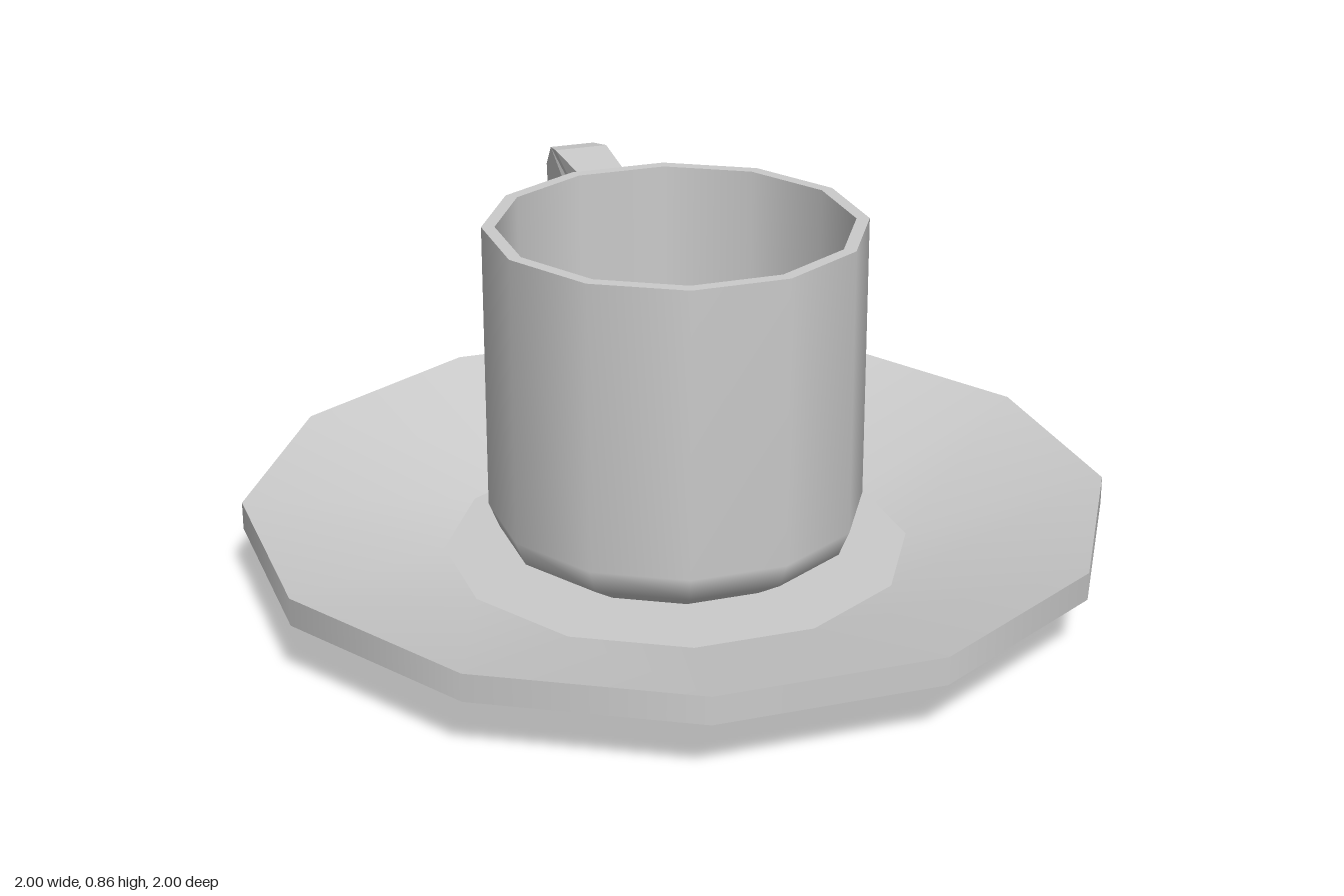
import * as THREE from 'three';

const material = new THREE.MeshStandardMaterial({ color: 0xcccccc });
const SIDES = 12;

// Each strip of the profile is its own lathe, so edges between strips stay sharp.
function turned(name, strips) {
  const group = new THREE.Group();
  group.name = name;
  for (const [part, ...points] of strips) {
    const profile = points.map(([r, y]) => new THREE.Vector2(r, y));
    const mesh = new THREE.Mesh(new THREE.LatheGeometry(profile, SIDES), material);
    mesh.name = part;
    group.add(mesh);
  }
  return group;
}

// Side outline of the handle: radius from the cup axis, height, half width.
const HANDLE = [
  [0.42, 0.685, 0.05], [0.58, 0.705, 0.06], [0.58, 0.64, 0.065],
  [0.65, 0.565, 0.065], [0.755, 0.555, 0.06], [0.835, 0.645, 0.05],
  [0.845, 0.74, 0.05], [0.79, 0.8, 0.055], [0.715, 0.815, 0.065],
  [0.42, 0.795, 0.05],
];

function makeHandle() {
  const shape = new THREE.Shape(HANDLE.map(([r, y]) => new THREE.Vector2(r, y)));
  const geometry = new THREE.ExtrudeGeometry(shape, { depth: 1, bevelEnabled: false });
  // Widen the curl and narrow its ends.
  const pos = geometry.attributes.position;
  for (let i = 0; i < pos.count; i++) {
    const point = HANDLE.find(([r, y]) =>
      Math.abs(r - pos.getX(i)) < 1e-4 && Math.abs(y - pos.getY(i)) < 1e-4);
    pos.setZ(i, pos.getZ(i) > 0.5 ? point[2] : -point[2]);
  }
  geometry.computeVertexNormals();
  const mesh = new THREE.Mesh(geometry, material);
  mesh.name = 'handle';
  // Points outward from the middle of one wall facet.
  mesh.rotation.y = THREE.MathUtils.degToRad(75);
  return mesh;
}

export function createModel() {
  const model = new THREE.Group();
  model.name = 'cupAndSaucer';

  model.add(turned('saucer', [
    ['saucerBase', [0, 0], [0.54, 0]],
    ['saucerUnderside', [0.54, 0], [1, 0.135]],
    ['saucerRim', [1, 0.135], [1, 0.2]],
    ['saucerSlope', [1, 0.2], [0.54, 0.07]],
    ['saucerWell', [0.54, 0.07], [0, 0.07]],
  ]));

  model.add(turned('cup', [
    ['cupWall', [0.33, 0.07], [0.41, 0.12], [0.435, 0.18], [0.435, 0.855]],
    ['cupLip', [0.435, 0.855], [0.405, 0.855]],
    ['cupInside', [0.405, 0.855], [0.405, 0.17]],
    ['cupFloor', [0.405, 0.17], [0, 0.17]],
  ]));

  model.add(makeHandle());
  return model;
}
